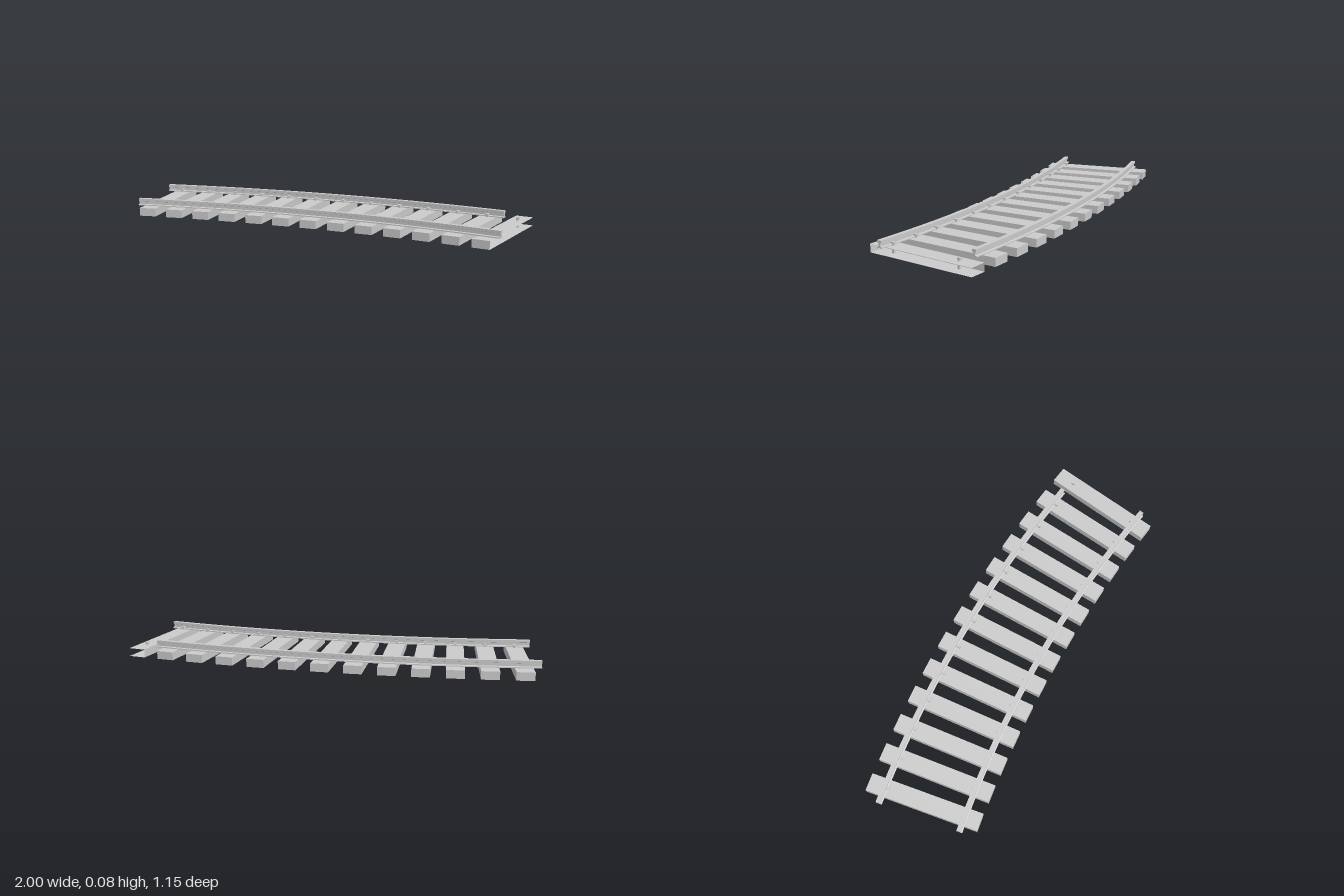
import * as THREE from 'three';
import { toCreasedNormals } from 'three/addons/utils/BufferGeometryUtils.js';

const SLEEPERS = 13;
const SLEEPER_TOP = 0.04;
const RAIL_TOP = 0.075;

// Gentle plan-view curve, given as [x, z] start, control and end
const planCurve = (a, b, c) => new THREE.QuadraticBezierCurve3(
  ...[a, b, c].map(([x, z]) => new THREE.Vector3(x, 0, z)));

// Half of the I-shaped rail section, foot to head: [half width, y]
const railHalf = [[0.015, SLEEPER_TOP], [0.015, 0.045], [0.005, 0.047],
  [0.005, 0.061], [0.011, 0.063], [0.011, RAIL_TOP]];

// Extrude the rail section straight, then bend it along the curve
function railGeometry(curve) {
  const left = railHalf.map(([x, y]) => [-x, y]).reverse();
  const shape = new THREE.Shape([...railHalf, ...left].map(p => new THREE.Vector2(...p)));
  const geo = new THREE.ExtrudeGeometry(shape, { depth: 1, steps: 20, bevelEnabled: false });
  const pos = geo.attributes.position;
  for (let i = 0; i < pos.count; i++) {
    const t = THREE.MathUtils.clamp(pos.getZ(i), 0, 1);
    const p = curve.getPointAt(t), d = curve.getTangentAt(t), x = pos.getX(i);
    pos.setXYZ(i, p.x + d.z * x, pos.getY(i), p.z - d.x * x);
  }
  return toCreasedNormals(geo, 0.5);
}

export function createModel() {
  const model = new THREE.Group();
  const material = new THREE.MeshStandardMaterial({ color: 0xcccccc, side: THREE.DoubleSide });
  const add = (parent, geo, name, x = 0, y = 0, z = 0) => {
    const mesh = new THREE.Mesh(geo, material);
    mesh.name = name;
    mesh.position.set(x, y, z);
    parent.add(mesh);
  };

  // Rails
  add(model, railGeometry(planCurve([-0.935, -0.5], [0.006, -0.351], [0.855, 0.083])), 'backRail');
  add(model, railGeometry(planCurve([-0.998, -0.1], [-0.049, 0.044], [0.797, 0.51])), 'frontRail');

  // Sleepers; the last one is an open shell on its outer side and back end
  const sleeperGeo = new THREE.BoxGeometry(0.086, SLEEPER_TOP, 0.565);
  const openGeo = sleeperGeo.clone();
  openGeo.clearGroups();
  openGeo.setIndex(Array.from(sleeperGeo.index.array).slice(6, 30));

  // Spikes on the inner side of each rail, with a head gripping the rail foot
  const shaftGeo = new THREE.BoxGeometry(0.012, 0.046, 0.01);
  const headGeo = new THREE.BoxGeometry(0.014, 0.006, 0.02);

  const middle = planCurve([-0.888, -0.291], [0.013, -0.121], [0.83, 0.297]);
  for (let i = 0; i < SLEEPERS; i++) {
    const t = i / (SLEEPERS - 1);
    const p = middle.getPointAt(t);
    const tie = new THREE.Group();
    tie.name = 'tie' + (i + 1);
    tie.position.set(p.x, 0, p.z);
    tie.rotation.y = -THREE.MathUtils.degToRad(THREE.MathUtils.lerp(9.6, 26.8, t));
    add(tie, i === SLEEPERS - 1 ? openGeo : sleeperGeo, 'sleeper', 0, SLEEPER_TOP / 2, 0);
    for (const side of [-1, 1]) {
      add(tie, shaftGeo, 'spikeShaft', 0, 0.028, side * 0.183);
      add(tie, headGeo, 'spikeHead', 0, 0.052, side * 0.187);
    }
    model.add(tie);
  }
  return model;
}
